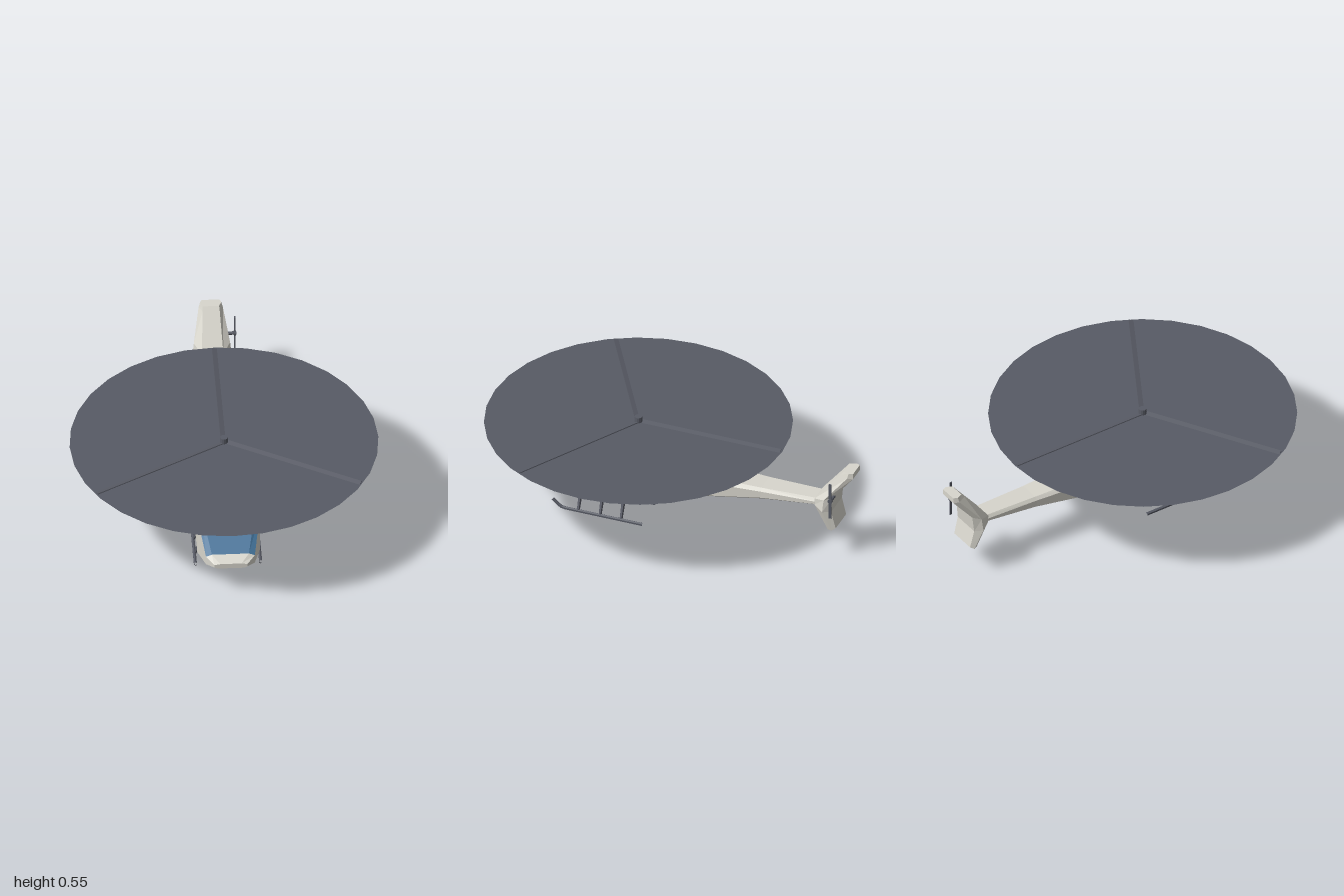
import * as THREE from 'three';

const mat = (name, color, extra = {}) => {
  const m = new THREE.MeshStandardMaterial({ color, flatShading: true, ...extra });
  m.name = name;
  return m;
};

// Joins rings of points into flat-sided skin, sorted into one mesh per key.
function loft(rings, keyOf) {
  const parts = {};
  const tri = (key, ...pts) => pts.forEach(p => (parts[key] ??= []).push(...p));
  const n = rings[0].length, last = rings.length - 1;
  for (let s = 0; s < last; s++) {
    const A = rings[s], B = rings[s + 1];
    for (let i = 0; i < n; i++) {
      const j = (i + 1) % n, key = keyOf(s, i);
      tri(key, A[j], A[i], B[i]);
      tri(key, A[j], B[i], B[j]);
    }
  }
  for (let i = 1; i < n - 1; i++) {
    tri(keyOf(0, -1), rings[0][0], rings[0][i], rings[0][i + 1]);
    tri(keyOf(last - 1, -1), rings[last][0], rings[last][i + 1], rings[last][i]);
  }
  return Object.entries(parts).map(([key, pos]) => {
    const g = new THREE.BufferGeometry();
    g.setAttribute('position', new THREE.Float32BufferAttribute(pos, 3));
    g.computeVertexNormals();
    return [key, g];
  });
}

export function createModel() {
  const model = new THREE.Group();
  model.name = 'helicopter';
  const body = mat('body paint', 0xd8d6cd);
  const glass = mat('window blue', 0x43739a);
  const red = mat('band red', 0xd8463a);
  const dark = mat('dark metal', 0x585b65);
  const disc = mat('rotor disc grey', 0x585b65, { side: THREE.DoubleSide });

  const add = (name, geometry, material, parent = model) => {
    const m = new THREE.Mesh(geometry, material);
    m.name = name;
    parent.add(m);
    return m;
  };

  // Fuselage and tail boom: eight-sided sections from nose to tail
  // [z at top, z at bottom, top y, shoulder y, lower side y, belly y, top half width, half width, belly half width]
  const stations = [
    [0.81, 0.81, 0.2, 0.195, 0.18, 0.172, 0.055, 0.085, 0.07],
    [0.765, 0.765, 0.228, 0.216, 0.168, 0.153, 0.095, 0.125, 0.09],
    [0.6, 0.6, 0.368, 0.348, 0.122, 0.104, 0.135, 0.16, 0.115],
    [0.405, 0.45, 0.368, 0.348, 0.115, 0.097, 0.135, 0.16, 0.12],
    [0.37, 0.25, 0.42, 0.4, 0.12, 0.104, 0.105, 0.16, 0.12],
    [0.035, 0.093, 0.42, 0.4, 0.155, 0.137, 0.1, 0.155, 0.115],
    [-0.035, -0.035, 0.339, 0.315, 0.187, 0.168, 0.09, 0.125, 0.095],
    [-0.217, -0.217, 0.318, 0.297, 0.22, 0.205, 0.07, 0.092, 0.072],
    [-0.5, -0.5, 0.313, 0.297, 0.26, 0.248, 0.055, 0.069, 0.055],
    [-0.82, -0.82, 0.317, 0.3, 0.288, 0.28, 0.045, 0.057, 0.045],
  ];
  const hull = stations.map(([zt, zb, yt, ys, yl, yb, wt, w, wb]) => {
    const z = y => zb + (zt - zb) * (y - yb) / (yt - yb);
    return [[wt, yt], [-wt, yt], [-w, ys], [-w, yl], [-wb, yb], [wb, yb], [w, yl], [w, ys]]
      .map(([x, y]) => [x, y, z(y)]);
  });
  const hullKey = (s, i) => {
    if (s === 5) return 'redBand';
    return (s === 1 || s === 2) && [0, 1, 7].includes(i) ? 'windshield' : 'fuselage';
  };
  const paint = { redBand: red, windshield: glass, fuselage: body };
  for (const [key, g] of loft(hull, hullKey)) add(key, g, paint[key]);

  // Tail fin: six-sided sections from top to bottom
  // [front z, front y, back z, back y, front half width, half width, back half width]
  const finRows = [
    [-0.946, 0.51, -1, 0.51, 0.042, 0.055, 0.045],
    [-0.93, 0.49, -1, 0.48, 0.044, 0.062, 0.05],
    [-0.79, 0.317, -0.9, 0.36, 0.055, 0.093, 0.072],
    [-0.79, 0.28, -0.89, 0.27, 0.055, 0.1, 0.075],
    [-0.866, 0.15, -0.914, 0.175, 0.06, 0.085, 0.072],
  ].map(([zf, yf, zb, yb, f, w, b]) => {
    const zm = zf + (zb - zf) * 0.6, ym = yf + (yb - yf) * 0.6;
    return [[-f, yf, zf], [f, yf, zf], [w, ym, zm], [b, yb, zb], [-b, yb, zb], [-w, ym, zm]];
  });
  add('tailFin', loft(finRows, () => 'fin')[0][1], body);

  // Main rotor: mast, three pitched blades and the sweep disc
  const rotor = new THREE.Group();
  rotor.name = 'mainRotor';
  rotor.position.set(0, 0.517, 0.2);
  model.add(rotor);
  add('mast', new THREE.CylinderGeometry(0.02, 0.026, 0.135, 12), dark, rotor).position.y = -0.038;
  add('sweepDisc', new THREE.CircleGeometry(0.79, 32).rotateX(-Math.PI / 2), disc, rotor);
  for (let i = 0; i < 3; i++) {
    const blade = new THREE.BoxGeometry(0.78, 0.005, 0.034).rotateX(0.28).translate(0.39, 0, 0);
    add('rotorBlade', blade, dark, rotor).rotation.y = Math.PI / 2 + i * Math.PI * 2 / 3;
  }

  // Tail rotor on the left of the fin
  const tailRotor = new THREE.Group();
  tailRotor.name = 'tailRotor';
  tailRotor.position.set(0.11, 0.365, -0.903);
  model.add(tailRotor);
  add('tailShaft', new THREE.CylinderGeometry(0.009, 0.009, 0.06, 8).rotateZ(Math.PI / 2), dark, tailRotor).position.x = -0.013;
  add('tailHub', new THREE.CylinderGeometry(0.013, 0.013, 0.012, 8).rotateZ(Math.PI / 2), dark, tailRotor).position.x = 0.01;
  add('tailBlade', new THREE.BoxGeometry(0.006, 0.205, 0.014), dark, tailRotor).position.x = 0.01;

  // Belly plate
  add('bellyPlate', new THREE.BoxGeometry(0.2, 0.009, 0.42), dark).position.set(0, 0.102, 0.28);

  // Landing skids with three struts each
  for (const side of [-1, 1]) {
    const skid = new THREE.CurvePath();
    const pts = [[0.11, 0.01], [0.55, 0.01], [0.575, 0.025], [0.605, 0.052]]
      .map(([z, y]) => new THREE.Vector3(side * 0.167, y, z));
    for (let i = 0; i < 3; i++) skid.add(new THREE.LineCurve3(pts[i], pts[i + 1]));
    add('skid', new THREE.TubeGeometry(skid, 24, 0.009, 6), dark);
    const foot = new THREE.Vector3(side * 0.165, 0.012, 0), top = new THREE.Vector3(side * 0.125, 0.115, 0);
    const dir = top.clone().sub(foot);
    for (const z of [0.465, 0.345, 0.23]) {
      const strut = add('strut', new THREE.CylinderGeometry(0.011, 0.008, dir.length(), 6), dark);
      strut.position.copy(foot).add(top).multiplyScalar(0.5).setZ(z);
      strut.quaternion.setFromUnitVectors(new THREE.Vector3(0, 1, 0), dir.clone().normalize());
    }
  }
  return model;
}
